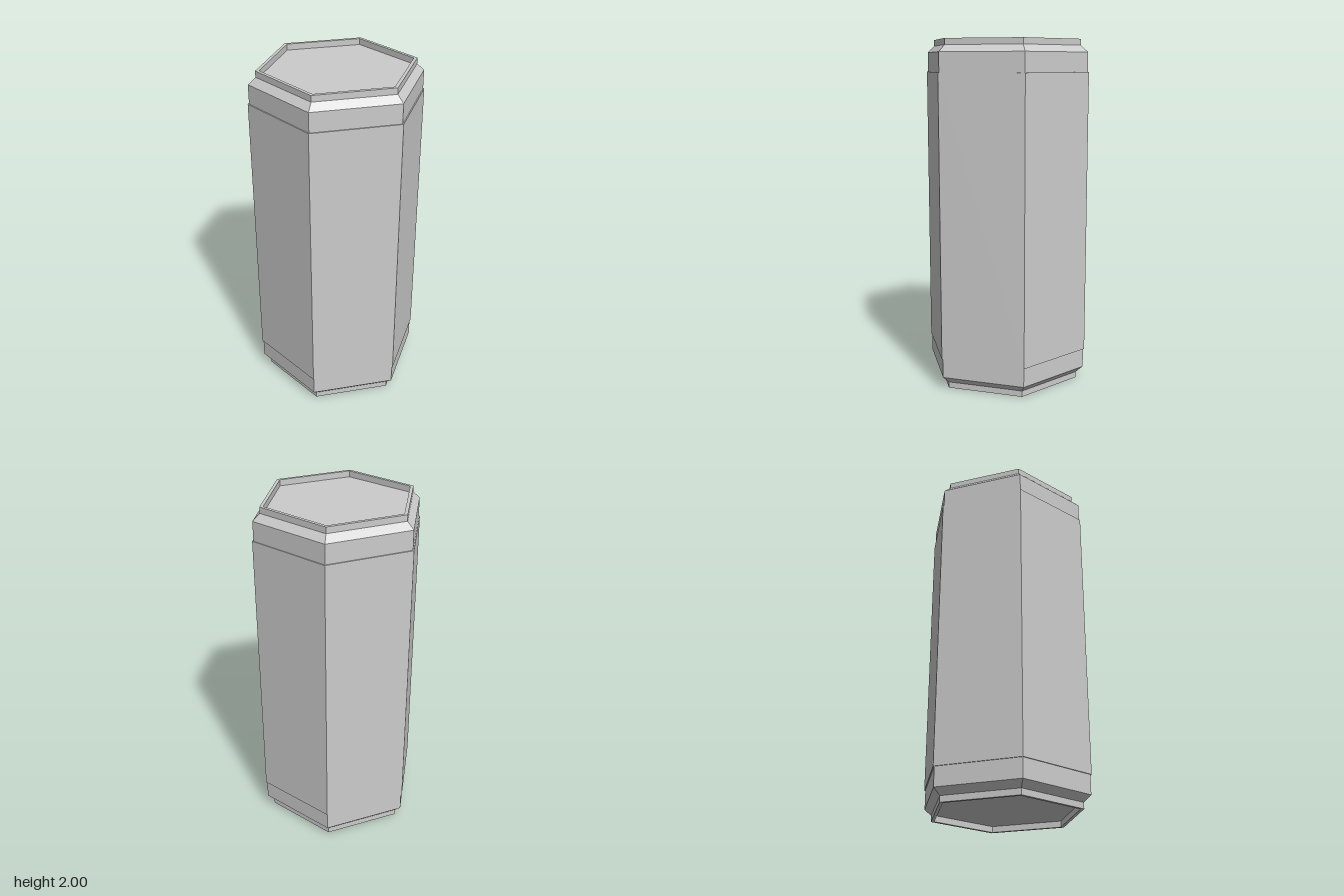
import * as THREE from 'three';

const SIDES = 6;
const HEIGHT = 2;

// Hexagonal lathe from a lower half profile [radius, y], mirrored about mid height
function hexPart(name, lower, material) {
  const upper = lower.map(([r, y]) => [r, HEIGHT - y]).reverse();
  const points = [...lower, ...upper].map(([r, y]) => new THREE.Vector2(r, y));
  const mesh = new THREE.Mesh(new THREE.LatheGeometry(points, SIDES), material);
  mesh.name = name;
  return mesh;
}

export function createModel() {
  const group = new THREE.Group();
  group.name = 'hexagonalCanister';
  const grey = new THREE.MeshStandardMaterial({ color: 0xcccccc, flatShading: true });

  // Body: recessed end, thin rim, chamfered shoulder, straight wall
  group.add(hexPart('body', [
    [0, 0.035], [0.424, 0.035], [0.424, 0], [0.445, 0],
    [0.445, 0.035], [0.487, 0.073],
  ], grey));

  // Slightly wider sleeve wrapped round the middle
  group.add(hexPart('sleeve', [[0.48, 0.184], [0.494, 0.184]], grey));

  return group;
}
